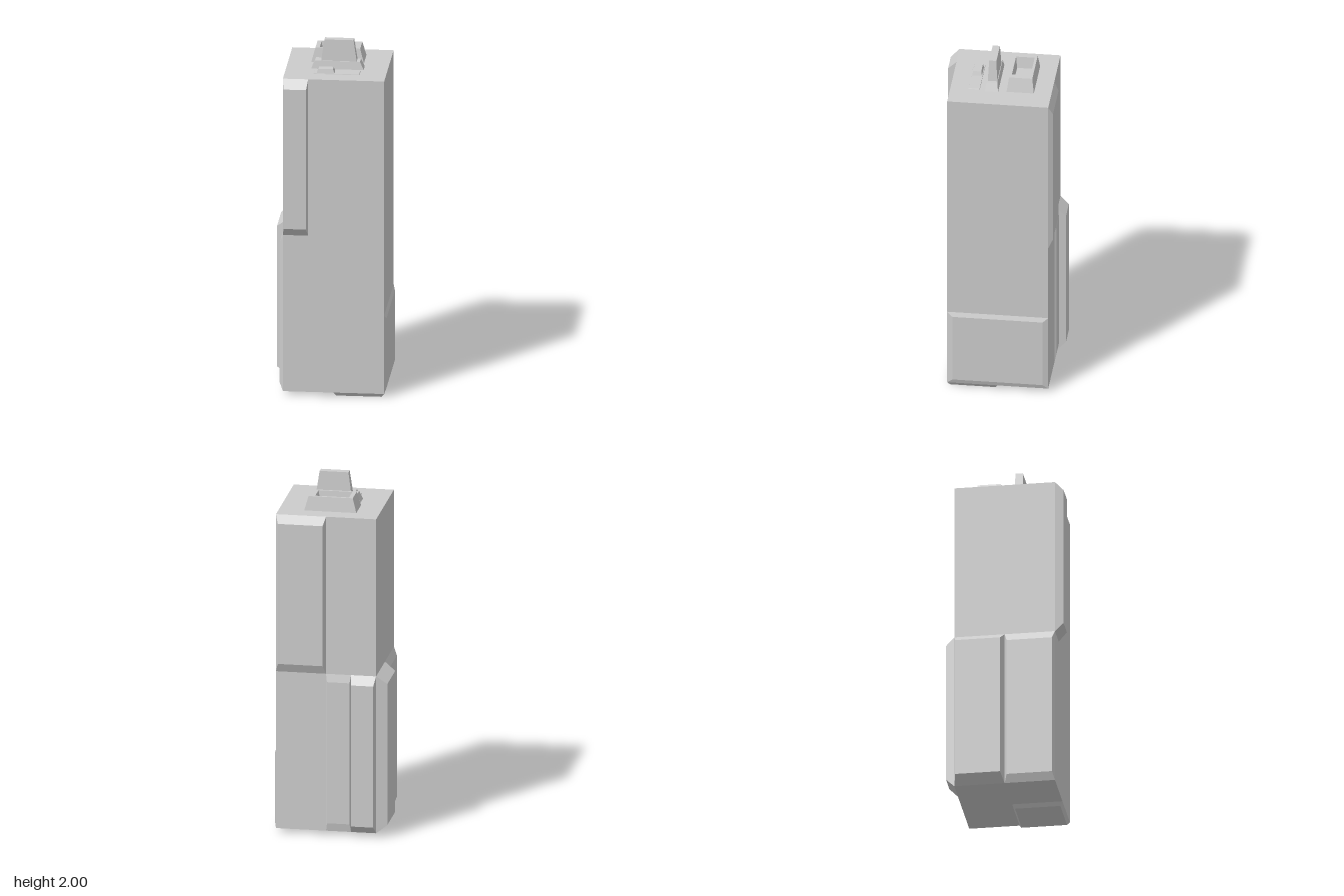
import * as THREE from 'three';

const BASE = 0.026, MID = 0.93, TOP = 1.835;
const material = new THREE.MeshStandardMaterial({ color: 0xcccccc });

function addMesh(group, name, geometry) {
  geometry.computeVertexNormals();
  const mesh = new THREE.Mesh(geometry, material);
  mesh.name = name;
  group.add(mesh);
}

// Box whose two end faces along one axis are different rectangles [u0, u1, v0, v1]
function taper(axis, lo, hi, loRect, hiRect) {
  const geometry = new THREE.BoxGeometry(1, 1, 1);
  const p = geometry.attributes.position;
  const [u, v] = [0, 1, 2].filter((i) => i !== axis);
  for (let i = 0; i < p.count; i++) {
    const c = [p.getX(i), p.getY(i), p.getZ(i)];
    const rect = c[axis] > 0 ? hiRect : loRect;
    c[u] = rect[c[u] > 0 ? 1 : 0];
    c[v] = rect[c[v] > 0 ? 3 : 2];
    c[axis] = c[axis] > 0 ? hi : lo;
    p.setXYZ(i, ...c);
  }
  return geometry;
}

// Stack of rectangular rings [y, x0, x1, z0, z1], closed by the last one
function ringStack(rings) {
  const loops = rings.map(([y, x0, x1, z0, z1]) =>
    [[x0, y, z0], [x0, y, z1], [x1, y, z1], [x1, y, z0]]);
  const out = [];
  const quad = (a, b, c, d) => out.push(...a, ...b, ...c, ...a, ...c, ...d);
  for (let i = 0; i + 1 < loops.length; i++) {
    const low = loops[i], up = loops[i + 1];
    for (let k = 0; k < 4; k++) {
      const n = (k + 1) % 4;
      quad(low[k], low[n], up[n], up[k]);
    }
  }
  quad(...loops[loops.length - 1]);
  const geometry = new THREE.BufferGeometry();
  geometry.setAttribute('position', new THREE.Float32BufferAttribute(out, 3));
  return geometry;
}

export function createModel() {
  const model = new THREE.Group();
  model.name = 'panelledTower';

  // Main block
  const block = [-0.255, 0.305, -0.28, 0.28];
  addMesh(model, 'body', taper(1, BASE, TOP, block, block));

  // Bevelled wall panels
  const upper = [MID, TOP], upperIn = [0.98, 1.787];
  const lower = [BASE, MID], lowerIn = [0.072, 0.885];
  addMesh(model, 'frontUpperPanel', taper(2, 0.28, 0.327,
    [-0.255, -0.115, ...upper], [-0.247, -0.123, ...upperIn]));
  addMesh(model, 'backLowerPanel', taper(2, -0.327, -0.28,
    [-0.247, -0.123, ...lowerIn], [-0.255, -0.115, ...lower]));
  addMesh(model, 'backMiddlePanel', taper(2, -0.29, -0.28,
    [-0.108, 0.018, ...lowerIn], [-0.115, 0.025, ...lower]));
  addMesh(model, 'backUpperPanel', taper(2, -0.305, -0.28,
    [0.04, 0.29, ...upperIn], [0.025, 0.305, ...upper]));
  addMesh(model, 'rightRearPanel', taper(0, -0.315, -0.255,
    [...lowerIn, -0.266, -0.017], [...lower, -0.28, 0]));
  addMesh(model, 'rightFrontPanel', taper(0, -0.274, -0.255,
    [...lowerIn, 0.014, 0.266], [...lower, 0, 0.28]));
  addMesh(model, 'leftPanel', taper(0, 0.305, 0.315,
    [BASE, 0.48, -0.28, 0.28], [0.052, 0.455, -0.25, 0.25]));
  addMesh(model, 'bottomPanel', taper(1, 0.005, BASE,
    [0.04, 0.29, 0.014, 0.266], [0.025, 0.305, 0, 0.28]));

  // Roof: hollow tray at the rear
  addMesh(model, 'roofTray', ringStack([
    [TOP, -0.127, 0.164, -0.183, -0.032],
    [1.915, -0.105, 0.142, -0.172, -0.043],
    [1.915, -0.082, 0.107, -0.158, -0.055],
    [1.85, -0.07, 0.095, -0.152, -0.062],
  ]));

  // Roof: stepped fin in the middle
  addMesh(model, 'finBase', taper(1, TOP, 1.88,
    [-0.116, 0.173, 0.014, 0.088], [-0.096, 0.153, 0.021, 0.081]));
  addMesh(model, 'fin', taper(1, 1.88, 2,
    [-0.062, 0.134, 0.024, 0.076], [-0.045, 0.116, 0.03, 0.07]));

  // Roof: thin plate with a small block at the front
  addMesh(model, 'roofPlate', taper(1, TOP, 1.839,
    [-0.095, 0.159, 0.117, 0.181], [-0.092, 0.157, 0.118, 0.18]));
  addMesh(model, 'plateBlock', taper(1, 1.839, 1.862,
    [-0.077, 0.02, 0.122, 0.176], [-0.068, 0.012, 0.127, 0.171]));

  return model;
}
